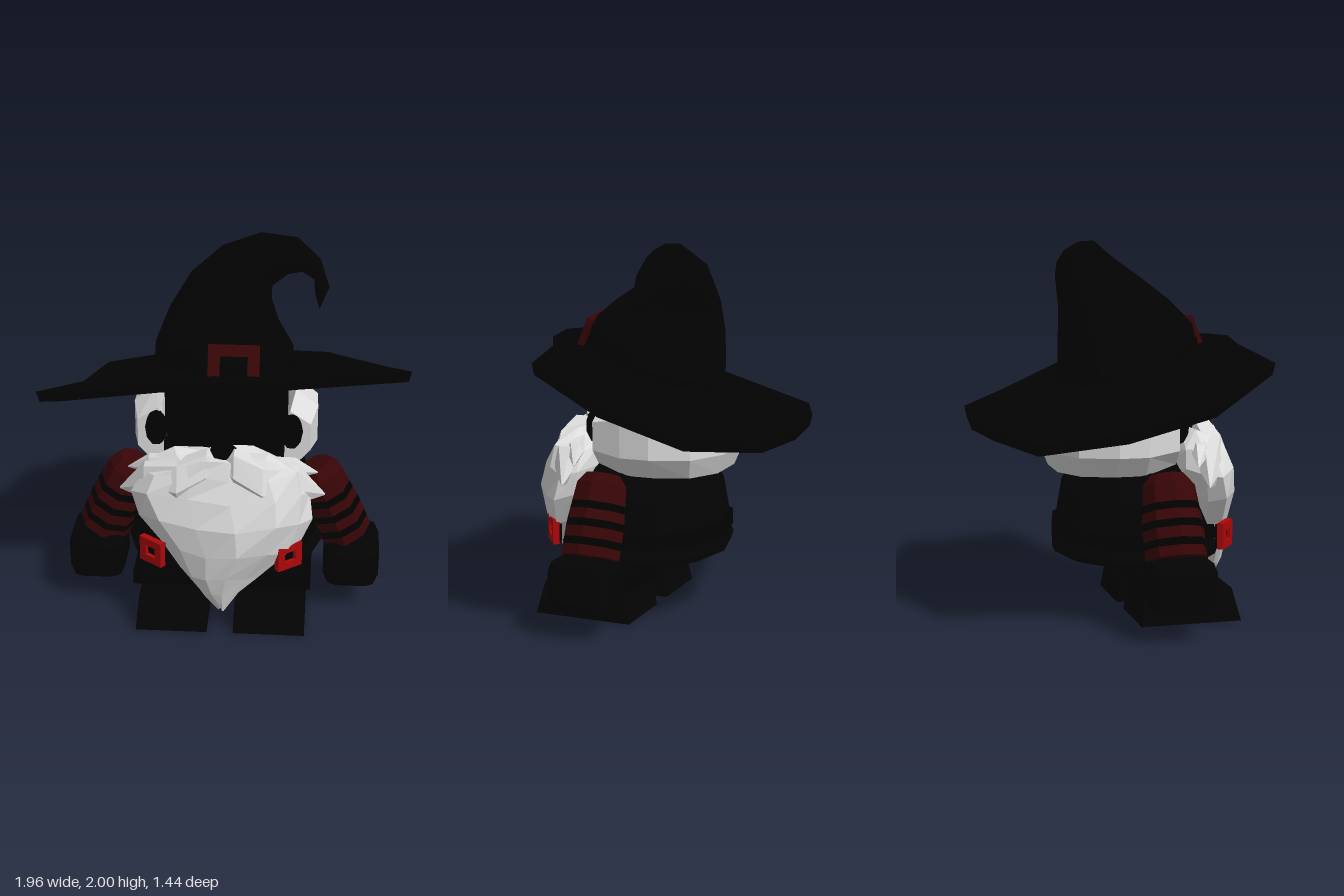
import * as THREE from 'three';
import { RoundedBoxGeometry } from 'three/addons/geometries/RoundedBoxGeometry.js';

// Faceted normals for any geometry
function flat(geo) {
  const g = geo.index ? geo.toNonIndexed() : geo;
  g.computeVertexNormals();
  return g;
}

// Skin closed rings of [x,y,z] points and cap both ends
function loft(rings) {
  const pos = [];
  const n = rings[0].length;
  const tri = (a, b, c) => pos.push(...a, ...b, ...c);
  for (let i = 0; i < rings.length - 1; i++) {
    for (let j = 0; j < n; j++) {
      const k = (j + 1) % n;
      const a = rings[i][j], b = rings[i][k], c = rings[i + 1][k], d = rings[i + 1][j];
      tri(a, d, b);
      tri(b, d, c);
    }
  }
  const mid = (r) => [0, 1, 2].map((m) => r.reduce((s, p) => s + p[m], 0) / n);
  const first = rings[0], last = rings[rings.length - 1];
  const m0 = mid(first), m1 = mid(last);
  for (let j = 0; j < n; j++) {
    const k = (j + 1) % n;
    tri(m0, first[j], first[k]);
    tri(m1, last[k], last[j]);
  }
  const g = new THREE.BufferGeometry();
  g.setAttribute('position', new THREE.Float32BufferAttribute(pos, 3));
  return flat(g);
}

const circle = (n, f) => Array.from({ length: n }, (_, j) => f((j / n) * Math.PI * 2));
const ellipse = (y, cz, rx, rz, n = 12) =>
  circle(n, (t) => [rx * Math.cos(t), y, cz + rz * Math.sin(t)]);
const rect = (cx, y, cz, hx, hz) =>
  [[1, -1], [1, 1], [-1, 1], [-1, -1]].map(([a, b]) => [cx + a * hx, y, cz + b * hz]);

// Mirror a geometry across x, keeping faces outward
function mirrored(geo) {
  const g = geo.clone().scale(-1, 1, 1);
  const p = g.attributes.position;
  const a = new THREE.Vector3(), b = new THREE.Vector3();
  for (let i = 0; i < p.count; i += 3) {
    a.fromBufferAttribute(p, i + 1);
    b.fromBufferAttribute(p, i + 2);
    p.setXYZ(i + 1, b.x, b.y, b.z);
    p.setXYZ(i + 2, a.x, a.y, a.z);
  }
  return flat(g);
}

// Rectangular frame with a rectangular hole
function frame(w, h, border, depth) {
  const s = new THREE.Shape([[-w, -h], [w, -h], [w, h], [-w, h]].map(([x, y]) => new THREE.Vector2(x / 2, y / 2)));
  const iw = w / 2 - border, ih = h / 2 - border;
  s.holes.push(new THREE.Path([[-iw, -ih], [-iw, ih], [iw, ih], [iw, -ih]].map(([x, y]) => new THREE.Vector2(x, y))));
  return flat(new THREE.ExtrudeGeometry(s, { depth, bevelEnabled: false }));
}

export function createModel() {
  const model = new THREE.Group();
  const material = (name, color) => Object.assign(new THREE.MeshStandardMaterial({ color }), { name });
  const hatCloth = material('hatBlack', 0x020202);
  const coatCloth = material('coatBlack', 0x030303);
  const shade = material('faceBlack', 0x010101);
  const sleeveRed = material('darkRed', 0x370507);
  const brightRed = material('brightRed', 0xac080a);
  const white = material('hairWhite', 0xdcdcdc);

  const add = (name, geo, mat) => {
    const m = new THREE.Mesh(geo, mat);
    m.name = name;
    model.add(m);
    return m;
  };
  const pair = (name, geo, mat) => {
    add(name + 'Left', geo, mat);
    add(name + 'Right', mirrored(geo), mat);
  };

  // Coat with flared hem, and belt
  add('coat', loft([
    ellipse(0.33, 0.165, 0.53, 0.445), ellipse(0.37, 0.165, 0.545, 0.46), ellipse(0.42, 0.165, 0.51, 0.44),
    ellipse(0.52, 0.16, 0.5, 0.43), ellipse(0.68, 0.15, 0.475, 0.39), ellipse(0.8, 0.14, 0.43, 0.325),
    ellipse(0.9, 0.12, 0.3, 0.24),
  ]), coatCloth);
  add('belt', loft([ellipse(0.42, 0.165, 0.52, 0.46), ellipse(0.5, 0.165, 0.52, 0.46)]), shade);

  // Belt buckles, turned outward
  const buckleAt = (g) => g.rotateY(0.65).translate(0.347, 0.457, 0.56);
  pair('beltBuckle', buckleAt(frame(0.15, 0.14, 0.042, 0.035)), brightRed);
  pair('buckleBacking', buckleAt(flat(new THREE.BoxGeometry(0.13, 0.12, 0.03))), shade);

  // Legs, cuffs and boots
  pair('trouserLeg', flat(new THREE.BoxGeometry(0.34, 0.2, 0.38).translate(0.255, 0.27, 0.27)), coatCloth);
  pair('trouserCuff', flat(new THREE.BoxGeometry(0.39, 0.07, 0.43).translate(0.28, 0.23, 0.275)), shade);
  pair('boot', loft([rect(0.26, 0, 0.365, 0.19, 0.275), rect(0.255, 0.18, 0.355, 0.178, 0.235)]), coatCloth);

  // Striped sleeves: short tapered segments along the arm
  const stops = [0, 0.13, 0.36, 0.45, 0.57, 0.66, 0.79, 0.88, 1];
  const stripes = [0, 0, 1, 0, 1, 0, 1, 0];
  const armRing = (t) => {
    const r = t === 0 ? 0.095 : 0.135 + 0.03 * Math.min(1, t * 1.6);
    return ellipse(-0.44 * t, 0, r * 0.87, r, 8);
  };
  stripes.forEach((dark, i) => {
    const g = loft([armRing(stops[i + 1]), armRing(stops[i])]);
    g.rotateZ(0.4).translate(0.485, 0.815, 0.215);
    pair(dark ? 'sleeveStripe' + i : 'sleeve' + i, g, dark ? shade : sleeveRed);
  });
  pair('glove', flat(new RoundedBoxGeometry(0.3, 0.285, 0.34, 1, 0.07).translate(0.69, 0.282, 0.23)), coatCloth);

  // Head, ears and nose
  add('head', loft([ellipse(0.8, 0.1, 0.3, 0.27), ellipse(0.95, 0.1, 0.33, 0.3), ellipse(1.36, 0.11, 0.33, 0.29)]), shade);
  pair('ear', flat(new THREE.IcosahedronGeometry(1, 1).scale(0.06, 0.1, 0.07).translate(0.355, 1.045, 0.3)), shade);
  add('nose', flat(new THREE.IcosahedronGeometry(0.08, 1).translate(0.01, 0.975, 0.47)), shade);

  // Hair band wrapping round the back of the head, dipping under the brim
  const half = [[0.455, 0.29], [0.49, 0.12], [0.485, -0.04], [0.38, -0.23], [0.15, -0.33]];
  const stations = [...half, ...half.slice().reverse().map(([x, z]) => [-x, z])];
  const section = [[0.84, 0.8], [1, 0.91], [1, 1.11], [0.76, 1.21], [0.7, 1.1], [0.7, 0.85]];
  add('hair', loft(stations.map(([x, z], i) => {
    const k = i === 0 || i === stations.length - 1 ? 0.75 : 1;
    const dip = Math.max(0, -z - 0.1) * 0.5;
    return section.map(([s, y]) => [x * s, 1 + (y - 1) * k - (y > 1 ? dip : dip * 0.1), z > 0 ? z : z * (0.2 + 0.8 * s)]);
  })), white);

  // Beard: twisted folds, rows of [y, centreX, halfWidth, centreZ, depth]
  const beardRows = [
    [0.14, 0.01, 0.02, 0.6, 0.03], [0.24, 0, 0.11, 0.58, 0.08], [0.35, 0.01, 0.22, 0.55, 0.13],
    [0.5, 0.05, 0.35, 0.53, 0.17], [0.66, 0.03, 0.45, 0.51, 0.19], [0.8, 0, 0.48, 0.48, 0.18],
    [0.91, 0, 0.43, 0.47, 0.15], [0.99, 0, 0.25, 0.47, 0.12],
  ];
  add('beard', loft(beardRows.map(([y, cx, w, cz, d], i) => circle(13, (t) => {
    const fold = 0.13 * Math.sin(4 * t + i * 0.8);
    return [cx + w * (1 + fold * 0.4) * Math.cos(t), y + 0.02 * Math.sin(4 * t + i), cz + d * (1 + fold) * Math.sin(t)];
  }))), white);

  // Moustache: broad flat strands [x, y, z, halfHeight, halfDepth]
  const strand = (pts) => loft(pts.map(([x, y, z, r, d]) =>
    circle(6, (t) => [x, y + r * Math.sin(t), z + d * Math.cos(t)])));
  pair('moustache', strand([[0.03, 0.94, 0.52, 0.06, 0.05], [0.07, 0.92, 0.53, 0.13, 0.08],
    [0.22, 0.84, 0.54, 0.15, 0.1], [0.4, 0.83, 0.48, 0.11, 0.07], [0.54, 0.75, 0.43, 0.004, 0.004]]), white);
  pair('whisker', strand([[0.2, 0.92, 0.47, 0.06, 0.05], [0.38, 0.9, 0.43, 0.055, 0.05],
    [0.5, 0.85, 0.38, 0.003, 0.003]]), white);

  // Hat brim: irregular drooping outline [x, y, z]
  const rim = [
    [0.98, 1.28, 0.02], [0.89, 1.45, 0.41], [0.38, 1.46, 0.55], [0.2, 1.48, 0.64], [-0.05, 1.49, 0.68],
    [-0.3, 1.47, 0.65], [-0.8, 1.42, 0.68], [-0.98, 1.24, 0.32], [-0.82, 1.1, -0.08], [-0.72, 1.04, -0.52],
    [-0.31, 1.06, -0.67], [0.1, 1.06, -0.72], [0.53, 1.07, -0.68], [0.86, 1.12, -0.39],
  ];
  const inner = (drop) => rim.map(([x, , z]) => {
    const a = Math.atan2(z - 0.13, x);
    const zi = 0.13 + 0.37 * Math.sin(a);
    return [0.36 * Math.cos(a), 1.3 + 0.3 * zi - drop, zi];
  });
  const lower = rim.map(([x, y, z]) => [x * 0.985, y - 0.06, z * 0.985]);
  add('hatBrim', loft([inner(0.06), lower, rim, inner(0)]), hatCloth);

  // Curling crown: [leftX, leftY, rightX, rightY, centreZ, depth]
  const crown = [
    [-0.38, 1.28, 0.37, 1.28, 0.13, 0.38], [-0.37, 1.46, 0.35, 1.46, 0.11, 0.365],
    [-0.3, 1.63, 0.27, 1.57, 0.045, 0.3], [-0.19, 1.8, 0.23, 1.66, -0.025, 0.22],
    [-0.03, 1.93, 0.23, 1.71, -0.075, 0.165], [0.17, 2.0, 0.31, 1.77, -0.09, 0.13],
    [0.36, 1.98, 0.385, 1.79, -0.08, 0.1], [0.48, 1.88, 0.45, 1.765, -0.04, 0.07],
    [0.53, 1.74, 0.455, 1.71, 0, 0.04], [0.482, 1.63, 0.48, 1.63, 0.03, 0.002],
  ];
  const crownRing = ([lx, ly, rx, ry, cz, d], grow = 1) => circle(10, (t) => {
    const c = (Math.cos(t) * grow) / 2, s = Math.sin(t) * grow * d;
    return [(lx + rx) / 2 + c * (rx - lx), (ly + ry) / 2 + c * (ry - ly) + 0.3 * s, cz + s];
  });
  add('hatCrown', loft(crown.map((r) => crownRing(r))), hatCloth);
  add('hatBand', loft([crownRing(crown[0], 1.02), crownRing([-0.365, 1.38, 0.36, 1.38, 0.12, 0.375], 1.02)]), shade);

  // Hat buckle
  const hatBuckle = add('hatBuckle', frame(0.26, 0.22, 0.06, 0.03), sleeveRed);
  hatBuckle.position.set(0.06, 1.485, 0.47);
  hatBuckle.rotation.set(-0.4, 0.14, 0);

  return model;
}
